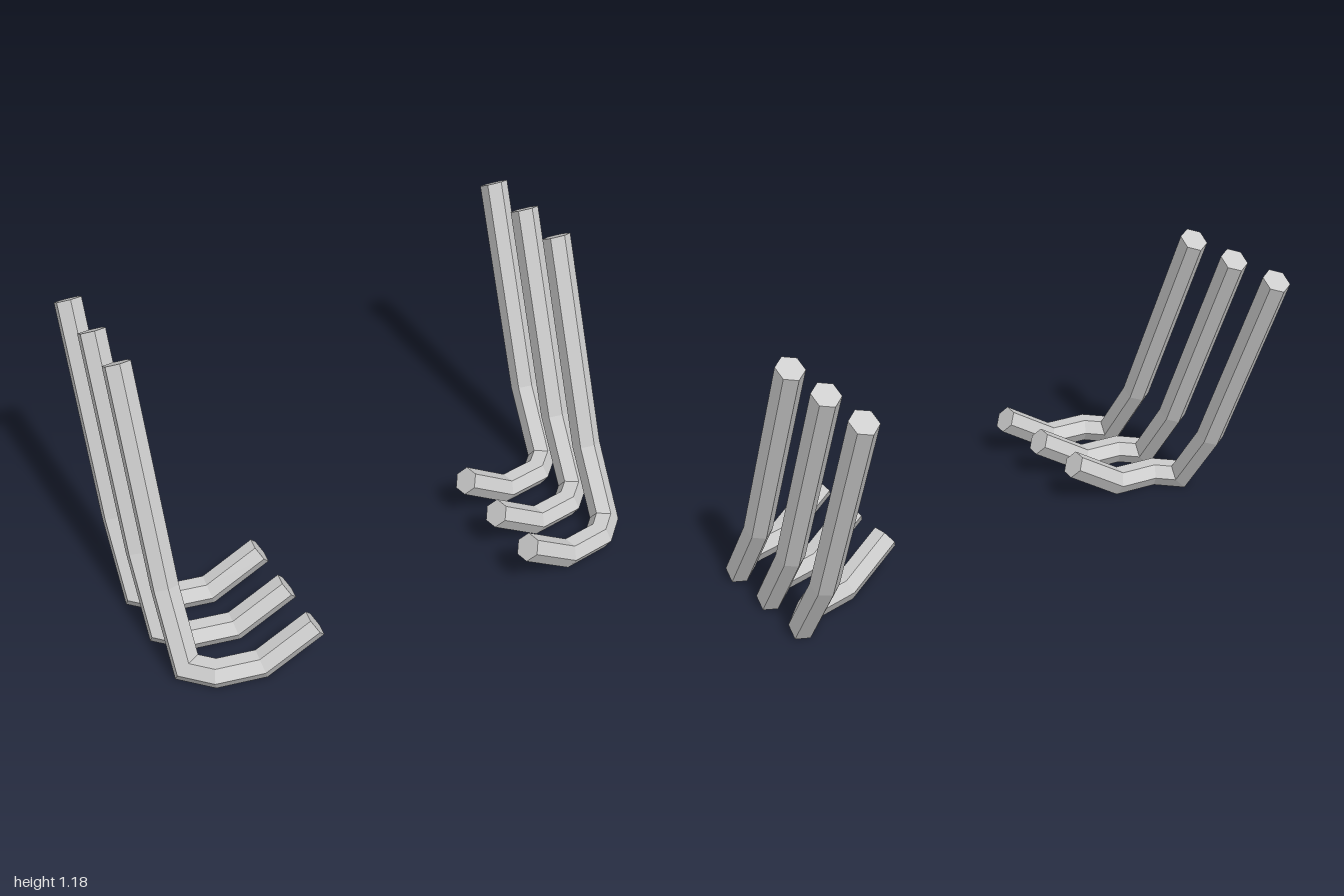
import * as THREE from 'three';

const SIDES = 6;
const RADIUS = 0.057;
const ROLL = THREE.MathUtils.degToRad(5);

// centre line of the front left bar, from upper tip to inner tip
const PATH = [
  [0.95, 1.157, -0.085],
  [0.95, 0.325, 0.235],
  [0.95, 0.052, 0.405],
  [0.866, 0.052, 0.49],
  [0.69, 0.052, 0.522],
  [0.475, 0.192, 0.553],
].map((p) => new THREE.Vector3(...p));

// hexagonal rings carried along the path without twist and mitred at each bend
function barRings() {
  const dirs = PATH.slice(1).map((p, i) => p.clone().sub(PATH[i]).normalize());
  const across = new THREE.Vector3(1, 0, 0);
  const front = across.clone().cross(dirs[0]).negate();
  if (front.z < 0) front.negate();
  const turn = new THREE.Quaternion();
  return PATH.map((p, i) => {
    const dir = dirs[Math.max(i - 1, 0)];
    if (i > 1) {
      turn.setFromUnitVectors(dirs[i - 2], dir);
      across.applyQuaternion(turn);
      front.applyQuaternion(turn);
    }
    // the upper tip is cut at a slight slant
    const normal = i === 0
      ? new THREE.Vector3(0, -0.87, 0.5)
      : dir.clone().add(dirs[Math.min(i, dirs.length - 1)]).normalize();
    return Array.from({ length: SIDES }, (_, j) => {
      const a = ROLL + (j * Math.PI * 2) / SIDES;
      const o = front.clone().multiplyScalar(Math.cos(a) * RADIUS)
        .addScaledVector(across, Math.sin(a) * RADIUS);
      o.addScaledVector(dir, -o.dot(normal) / dir.dot(normal));
      return o.add(p);
    });
  });
}

// faceted bar with closed ends; side is 1 for left, -1 for right
function barGeometry(side) {
  const rings = barRings();
  const pos = [];
  const tri = (a, b, c) => {
    for (const v of side > 0 ? [a, b, c] : [a, c, b]) pos.push(v.x * side, Math.max(v.y, 0), v.z);
  };
  for (let i = 0; i < rings.length - 1; i++) {
    for (let j = 0; j < SIDES; j++) {
      const k = (j + 1) % SIDES;
      const [r, s] = [rings[i], rings[i + 1]];
      tri(r[j], s[j], s[k]);
      tri(r[j], s[k], r[k]);
    }
  }
  const last = rings[rings.length - 1];
  for (let j = 1; j < SIDES - 1; j++) {
    tri(rings[0][0], rings[0][j], rings[0][j + 1]);
    tri(last[0], last[j + 1], last[j]);
  }
  const geometry = new THREE.BufferGeometry();
  geometry.setAttribute('position', new THREE.Float32BufferAttribute(pos, 3));
  geometry.computeVertexNormals();
  return geometry;
}

export function createModel() {
  const model = new THREE.Group();
  model.name = 'bentBars';
  const material = new THREE.MeshStandardMaterial({ color: 0xcccccc, flatShading: true });
  // three bars in a row on each side
  for (const [name, side] of [['left', 1], ['right', -1]]) {
    const row = new THREE.Group();
    row.name = `${name}Bars`;
    const geometry = barGeometry(side);
    ['Front', 'Middle', 'Back'].forEach((place, i) => {
      const bar = new THREE.Mesh(geometry, material);
      bar.name = `${name}${place}Bar`;
      bar.position.z = -0.242 * i;
      row.add(bar);
    });
    model.add(row);
  }
  return model;
}
